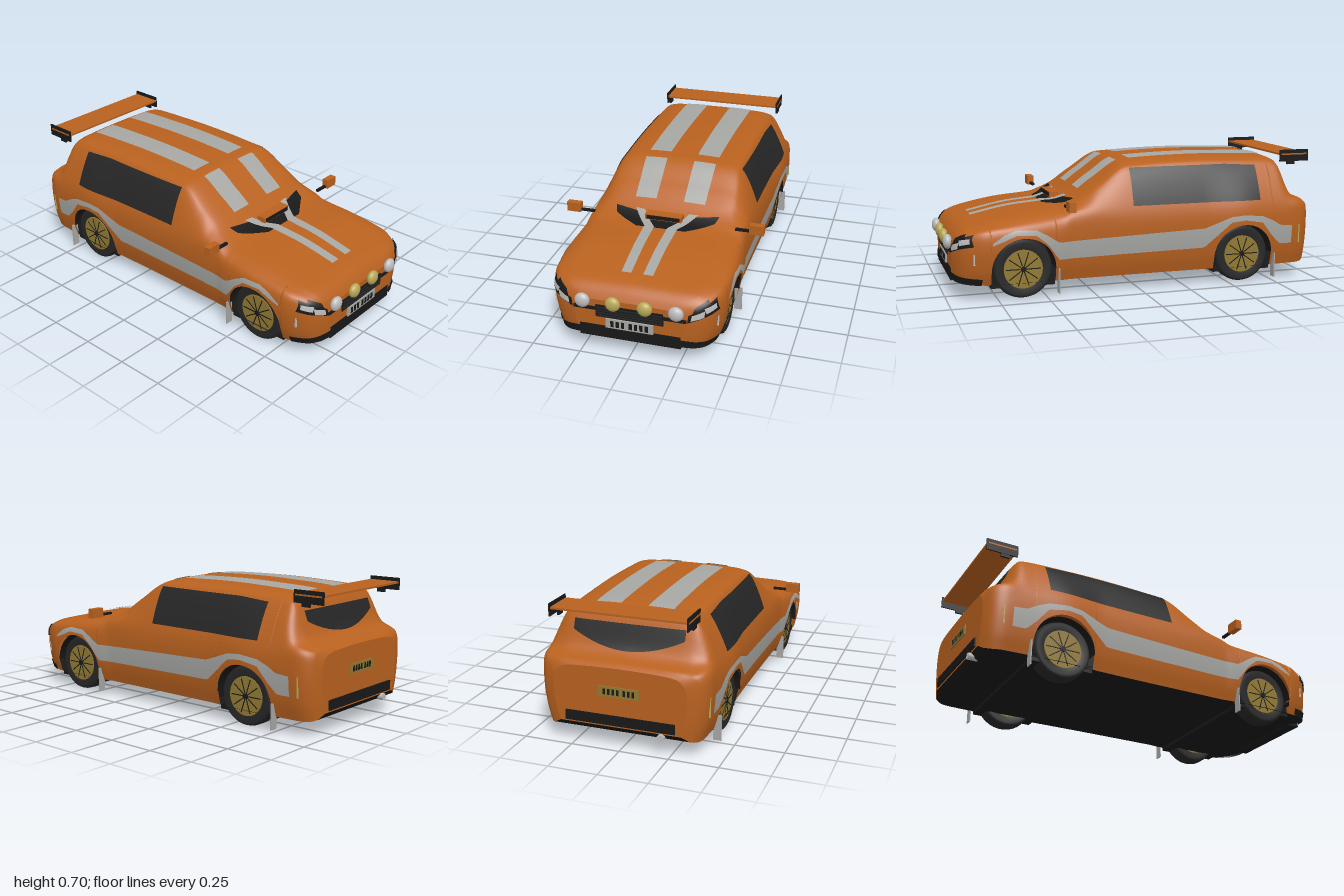
import * as THREE from 'three';

const paint = (name, color) => new THREE.MeshStandardMaterial({ name, color, side: THREE.DoubleSide });

// Body stations: x, sill y, shoulder y, top y, half width, top half width
const ST = [
  [-0.985, .115, .36, .415, .34, .30], [-0.97, .09, .40, .43, .385, .33], [-0.93, .08, .42, .443, .42, .35],
  [-0.89, .08, .43, .47, .432, .35], [-0.80, .08, .44, .655, .437, .335], [-0.74, .08, .44, .668, .44, .33],
  [-0.58, .08, .44, .675, .45, .33], [-0.35, .08, .44, .68, .434, .33], [0.04, .08, .44, .668, .43, .33],
  [0.2, .08, .44, .575, .43, .35], [0.36, .08, .42, .465, .43, .37], [0.42, .08, .39, .445, .437, .38],
  [0.62, .08, .37, .425, .45, .385], [0.8, .08, .355, .39, .44, .37], [0.9, .09, .33, .365, .40, .34],
  [0.945, .10, .30, .33, .345, .30], [0.965, .115, .265, .295, .28, .24]];
const X0 = -0.985, X1 = 0.965, AXLES = [-0.58, 0.62], ARCH = 0.165, AXLE_Y = 0.152, N = 60;

// Monotone cubic interpolation of the stations
function station(x) {
  let i = 0;
  while (i < ST.length - 2 && x > ST[i + 1][0]) i++;
  const a = ST[i], b = ST[i + 1], h = b[0] - a[0], t = THREE.MathUtils.clamp((x - a[0]) / h, 0, 1);
  const slope = (k, c) => (ST[k + 1][c] - ST[k][c]) / (ST[k + 1][0] - ST[k][0]);
  const tangent = (k, c) => {
    if (k === 0 || k === ST.length - 1) return slope(Math.min(k, ST.length - 2), c);
    const p = slope(k - 1, c), q = slope(k, c);
    return p * q <= 0 ? 0 : 2 * p * q / (p + q);
  };
  return [1, 2, 3, 4, 5].map(c => a[c] * (1 + 2 * t) * (1 - t) ** 2 + b[c] * t * t * (3 - 2 * t)
    + h * (tangent(i, c) * t * (1 - t) ** 2 - tangent(i + 1, c) * t * t * (1 - t)));
}

// Half cross-section from sill to roof centre, as [z, y] samples
const cache = new Map();
function section(x) {
  if (cache.has(x)) return cache.get(x);
  const [yb, ys, yt, w, wt] = station(x), d = yt - ys, h = ys - yb;
  const pts = [[.91 * w, yb], [.965 * w, yb + .25 * h], [w, yb + .72 * h], [.965 * w, ys],
    [wt, yt - Math.min(.035, d * .4)], [wt * .88, yt - Math.min(.014, d * .2)], [wt * .5, yt - .003], [0, yt]];
  const c = new THREE.CatmullRomCurve3(pts.map(p => new THREE.Vector3(p[0], p[1], 0)));
  const out = c.getPoints(N - 1).map(p => [p.x, p.y]);
  cache.set(x, out);
  return out;
}
function sideZ(x, y) {
  const s = section(x);
  if (y <= s[0][1]) return s[0][0];
  for (let i = 1; i < N; i++) if (s[i][1] >= y)
    return THREE.MathUtils.mapLinear(y, s[i - 1][1], s[i][1], s[i - 1][0], s[i][0]);
  return -1;
}
function topY(x, z) {
  const s = section(x), a = Math.abs(z);
  for (let i = N - 2; i >= 0; i--) if (s[i][0] >= a)
    return THREE.MathUtils.mapLinear(a, s[i + 1][0], s[i][0], s[i + 1][1], s[i][1]);
  return s[0][1];
}
function endX(z, y, end) {
  let a = end > 0 ? 0.5 : -0.5, b = end > 0 ? X1 : X0;
  if (Math.abs(z) <= sideZ(b, y)) return b;
  for (let i = 0; i < 18; i++) {
    const m = (a + b) / 2;
    if (Math.abs(z) <= sideZ(m, y)) a = m; else b = m;
  }
  return a;
}
function lowY(x) {
  const dx = Math.min(...AXLES.map(c => Math.abs(x - c)));
  return dx <= ARCH + 1e-6 ? AXLE_Y + Math.sqrt(Math.max(0, ARCH * ARCH - dx * dx)) : 0;
}
// Body point, s from 0 at the lower edge to 1 at the roof centre
function bodyPoint(x, s) {
  const sec = section(x), low = lowY(x);
  let k = 0;
  if (low > sec[0][1]) {
    let i = 1;
    while (sec[i][1] < low) i++;
    k = i - 1 + (low - sec[i - 1][1]) / (sec[i][1] - sec[i - 1][1]);
  }
  const f = k + (N - 1 - k) * s, i = Math.min(N - 2, Math.floor(f)), t = f - i;
  return [0, 1].map(c => sec[i][c] * (1 - t) + sec[i + 1][c] * t);
}

// Grid surface from a rule f(u, v) -> [x, y, z]
function grid(nu, nv, f) {
  const pos = [], idx = [];
  for (let i = 0; i <= nu; i++) for (let j = 0; j <= nv; j++) pos.push(...f(i / nu, j / nv));
  for (let i = 0; i < nu; i++) for (let j = 0; j < nv; j++) {
    const a = i * (nv + 1) + j, b = a + nv + 1;
    idx.push(a, a + 1, b, b, a + 1, b + 1);
  }
  const g = new THREE.BufferGeometry();
  g.setAttribute('position', new THREE.Float32BufferAttribute(pos, 3));
  g.setIndex(idx);
  g.computeVertexNormals();
  return g;
}
const quad = (q, u, v) => [0, 1].map(c =>
  (q[0][c] * (1 - u) + q[1][c] * u) * (1 - v) + (q[3][c] * (1 - u) + q[2][c] * u) * v);

export function createModel() {
  const orange = paint('orangePaint', 0xb8611f), grey = paint('greyStripe', 0xa6a6a3), black = paint('blackTrim', 0x181818),
    glass = paint('darkGlass', 0x262626), gold = paint('goldRim', 0x917832), amber = paint('amberLamp', 0xb9a858),
    silver = paint('silverLamp', 0xbcbcbc);
  const car = new THREE.Group();
  car.name = 'rallyCar';
  const add = (name, geo, mat, x = 0, y = 0, z = 0) => {
    const m = new THREE.Mesh(geo, mat);
    m.name = name;
    m.position.set(x, y, z);
    car.add(m);
    return m;
  };
  const box = (name, mat, x0, x1, y0, y1, z0, z1) => add(name,
    new THREE.BoxGeometry(x1 - x0, y1 - y0, Math.abs(z1 - z0)), mat, (x0 + x1) / 2, (y0 + y1) / 2, (z0 + z1) / 2);
  // Painted patches following the body
  const topPatch = (name, mat, q, lift = .005) => add(name, grid(32, 10, (u, v) => {
    const [x, z] = quad(q, u, v);
    return [x, topY(x, z) + lift, z];
  }), mat);
  const endPatch = (name, mat, q, end, lift = .006) => add(name, grid(14, 8, (u, v) => {
    const [z, y] = quad(q, u, v);
    return [endX(z, y, end) + end * lift, y, z + Math.sign(z) * lift * .5];
  }), mat);

  // Body shell with open wheel arches
  const xs = Array.from({ length: 141 }, (_, i) => X0 + (X1 - X0) * i / 140);
  for (const c of AXLES) for (const s of [-1, 1]) for (const d of [0, .0005, -.003, -.01]) xs.push(c + s * (ARCH + d));
  xs.sort((a, b) => a - b);
  add('bodyShell', grid(xs.length - 1, 72, (u, v) => {
    const x = xs[Math.round(u * (xs.length - 1))], [z, y] = bodyPoint(x, 1 - Math.abs(2 * v - 1));
    return [x, y, v < .5 ? z : -z];
  }), orange);
  for (const x of [X0, X1]) add(x > 0 ? 'nosePanel' : 'tailPanel', grid(36, 1, (u, v) => {
    const [z, y] = bodyPoint(x, u);
    return [x, y, z * (1 - 2 * v)];
  }), orange);
  add('floor', grid(100, 1, (u, v) => {
    const x = X0 + (X1 - X0) * u, s = section(x)[0];
    return [x, s[1], s[0] * (2 * v - 1)];
  }), black);
  box('chassis', black, -0.9, 0.85, .085, .33, -.28, .28);

  // Stripes and bonnet markings
  for (const s of [-1, 1]) {
    topPatch('roofStripe', grey, [[-.77, s * .07], [0, s * .075], [0, s * .195], [-.77, s * .2]]);
    topPatch('windscreenStripe', grey, [[.07, s * .075], [.28, s * .075], [.28, s * .19], [.07, s * .195]]);
    topPatch('bonnetStripe', grey, [[.45, s * .035], [.835, s * .03], [.835, s * .08], [.45, s * .088]], .006);
    topPatch('bonnetVent', black, [[.325, s * .28], [.37, s * .265], [.46, s * .13], [.38, 0]]);
    topPatch('bonnetVent', black, [[.38, 0], [.46, 0], [.46, s * .13], [.42, s * .1]]);
    topPatch('ventStripe', grey, [[.335, s * .17], [.34, s * .12], [.455, s * .035], [.455, s * .088]], .008);
  }
  box('scoop', orange, .36, .41, .462, .49, -.098, .098);
  box('scoopMouth', black, .41, .413, .466, .486, -.088, .088);

  // Side stripe as x, bottom, top
  const band = [[-.86, .2, .3], [-.79, .2, .305], [-.74, .25, .335], [-.68, .325, .36], [-.58, .343, .371], [-.5, .335, .365],
    [-.42, .265, .335], [-.35, .205, .31], [.44, .195, .285], [.5, .28, .325], [.56, .33, .357], [.66, .335, .36],
    [.72, .31, .34], [.78, .288, .3]];
  const bandAt = (x, c) => {
    const i = Math.max(1, band.findIndex(p => p[0] >= x - 1e-9));
    return THREE.MathUtils.mapLinear(x, band[i - 1][0], band[i][0], band[i - 1][c], band[i][c]);
  };
  for (const s of [-1, 1]) {
    add('sideStripe', grid(110, 6, (u, v) => {
      const x = -.86 + 1.64 * u, y = bandAt(x, 1) * (1 - v) + bandAt(x, 2) * v;
      return [x, y, s * (sideZ(x, y) + .004)];
    }), grey);
    add('sideWindow', grid(50, 10, (u, v) => {
      const x = -.67 + .71 * u, y = .447 + v * (.178 + .012 * Math.min(1, u * 4));
      return [x, y, s * (sideZ(x, y) + .005)];
    }), glass);
    // Marker lights
    box('frontMarker', silver, .865, .873, .19, .245, s * (sideZ(.87, .21) - .004), s * (sideZ(.87, .21) + .005));
    box('rearMarker', amber, -.909, -.903, .2, .3, s * (sideZ(-.905, .25) - .004), s * (sideZ(-.905, .25) + .004));
    // Headlights
    endPatch('headlightSurround', black, [[s * .285, .238], [s * .42, .285], [s * .405, .345], [s * .29, .278]], 1);
    endPatch('headlightSurround', black, [[s * .30, .265], [s * .41, .30], [s * .37, .345], [s * .32, .318]], 1);
    endPatch('headlightLens', silver, [[s * .30, .25], [s * .36, .268], [s * .365, .302], [s * .305, .28]], 1, .009);
    endPatch('headlightLens', silver, [[s * .37, .285], [s * .41, .30], [s * .405, .325], [s * .36, .312]], 1, .009);
    // Mirrors
    box('mirrorArm', black, .385, .4, .455, .467, s * .38, s * .46);
    box('mirror', orange, .375, .41, .45, .5, s * .455, s * .53);
    // Mud flaps
    for (const x of [-.76, .44]) box('mudFlap', grey, x - .003, x + .003, .018, .15, s * .395, s * .436);
    // Roof lamps on the nose
    for (const [z, m] of [[.08, amber], [.235, silver]]) {
      add('spotLamp', new THREE.SphereGeometry(.038, 24, 16), m, .975, .284, s * z).scale.x = .63;
    }
    // Wing end plates
    box('wingEndPlate', black, -.99, -.82, .637, .7, s * .341, s * .348);
    box('wingPinstripe', orange, -.98, -.83, .672, .68, s * .347, s * .35);
    box('wingBracket', black, -.91, -.865, .62, .638, s * .335, s * .346);
  }
  box('wingBlade', orange, -.985, -.82, .672, .682, -.342, .342);

  // Nose
  box('lampBar', black, .945, .972, .236, .252, -.283, .283);
  box('grille', black, .95, .97, .2, .265, -.17, .17);
  for (let i = 0; i < 4; i++) box('grilleSlat', glass, .97, .973, .207 + i * .014, .213 + i * .014, -.165, .165);
  box('frontPlate', grey, .95, .973, .145, .196, -.12, .12);
  box('lowerIntake', black, .9, .968, .085, .15, -.255, .255);
  for (const s of [-1, 1]) endPatch('lowerLip', black, [[s * .25, .1], [s * .395, .08], [s * .41, .115], [s * .25, .14]], 1);

  // Tail
  add('rearWindow', grid(30, 8, (u, v) => {
    const a = 2 * u - 1, z = .285 * a, low = .472 + .07 * a * a, y = low + (.592 - low) * v;
    return [endX(z, y, -1) - .007, y, z];
  }), glass);
  box('rearBumper', black, -.993, -.96, .125, .175, -.28, .28);
  box('rearPlate', gold, -.991, -.98, .27, .322, -.105, .105);
  for (let i = 0; i < 7; i++) {
    const z = (i - 3) * .027 + (i < 4 ? -.006 : .006);
    box('plateBar', black, .972, .975, .154, .187, z - .008, z + .008);
    box('plateBar', black, -.993, -.99, .282, .311, z * .85 - .006, z * .85 + .006);
  }
  add('exhaust', new THREE.CylinderGeometry(.018, .018, .1, 20).rotateZ(Math.PI / 2), silver, -.95, .1, .21);

  // Wheels and arch liners
  const tyre = new THREE.LatheGeometry([[.095, -.04], [.135, -.048], [.147, -.04], [.152, -.025], [.152, .025], [.147, .04],
    [.135, .048], [.095, .04]].map(p => new THREE.Vector2(...p)), 40).rotateX(Math.PI / 2);
  const rim = new THREE.CylinderGeometry(.1, .1, .088, 36).rotateX(Math.PI / 2);
  const hub = new THREE.CylinderGeometry(.014, .014, .012, 16).rotateX(Math.PI / 2);
  for (const x of AXLES) {
    add('archLiner', new THREE.CylinderGeometry(ARCH, ARCH, .85, 40, 1, true, Math.PI / 2, Math.PI).rotateX(Math.PI / 2),
      black, x, AXLE_Y, 0);
    box('wheelBay', black, x - ARCH, x + ARCH, .06, .085, -.395, .395);
    for (const s of [-1, 1]) {
      add('tyre', tyre, glass, x, AXLE_Y, s * .357);
      add('rim', rim, gold, x, AXLE_Y, s * .359);
      add('hub', hub, black, x, AXLE_Y, s * .404);
      for (let i = 0; i < 10; i++) {
        const a = i * Math.PI / 5;
        add('spokeGap', new THREE.BoxGeometry(.075, .005, .004), black,
          x + Math.cos(a) * .053, AXLE_Y + Math.sin(a) * .053, s * .403).rotation.z = a;
      }
    }
  }
  return car;
}
